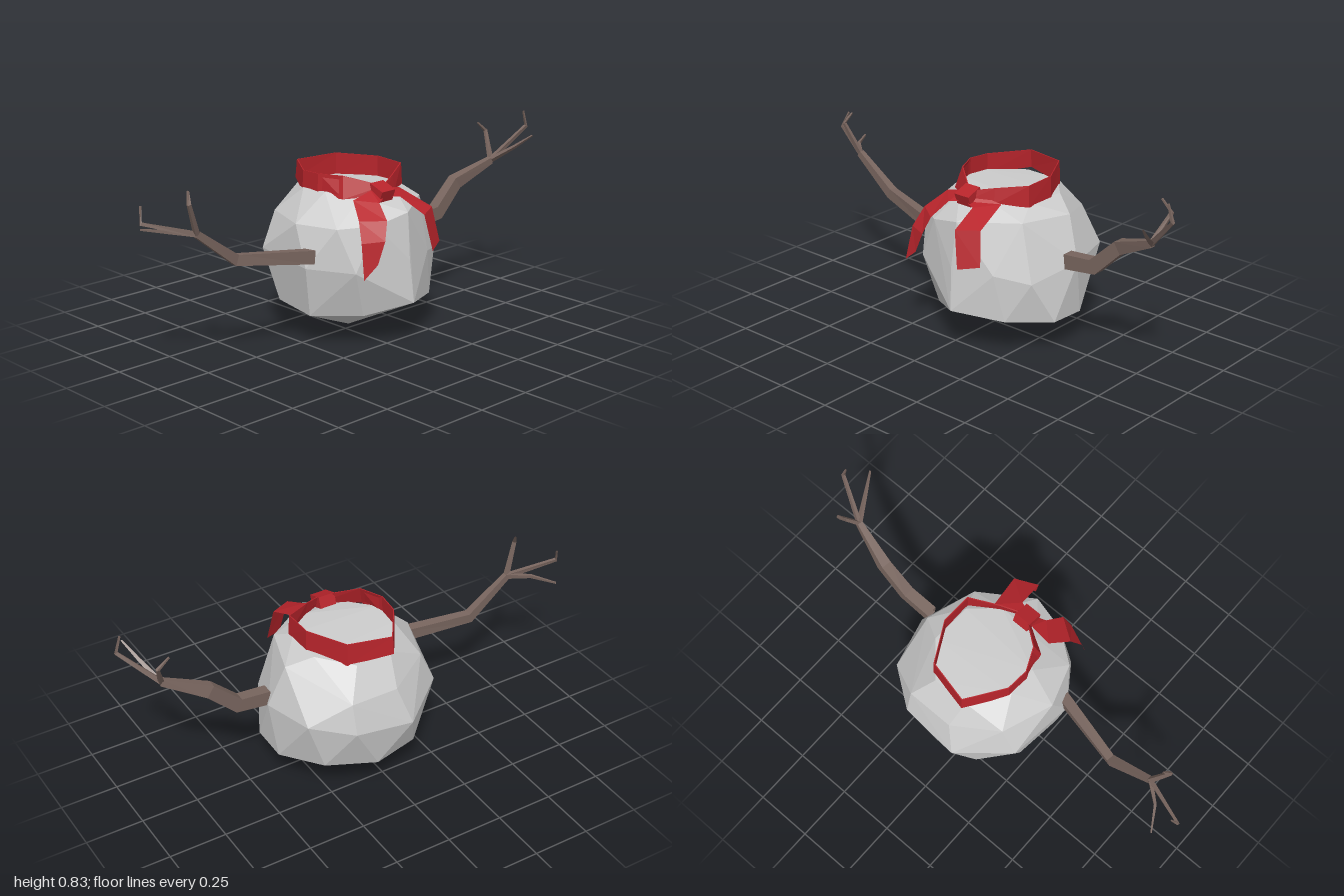
import * as THREE from 'three';
import { ConvexGeometry } from 'three/addons/geometries/ConvexGeometry.js';

const mat = (color) => new THREE.MeshStandardMaterial({ color, flatShading: true, side: THREE.DoubleSide });
const stone = mat(0xcccccc), bark = mat(0x78655e), red = mat(0xb8242b);

function add(parent, name, geometry, material) {
  const m = new THREE.Mesh(geometry, material);
  m.name = name;
  parent.add(m);
  return m;
}

// Joins a list of equal-length cross-sections (arrays of Vector3) into one surface
function loft(sections, closedSection, closedPath) {
  const n = sections[0].length, pos = [], idx = [];
  sections.forEach((s) => s.forEach((p) => pos.push(p.x, p.y, p.z)));
  const rows = closedPath ? sections.length : sections.length - 1;
  const cols = closedSection ? n : n - 1;
  for (let i = 0; i < rows; i++) {
    for (let j = 0; j < cols; j++) {
      const i2 = (i + 1) % sections.length, j2 = (j + 1) % n;
      const a = i * n + j, b = i * n + j2, c = i2 * n + j2, d = i2 * n + j;
      idx.push(a, b, c, a, c, d);
    }
  }
  const g = new THREE.BufferGeometry();
  g.setAttribute('position', new THREE.Float32BufferAttribute(pos, 3));
  g.setIndex(idx);
  g.computeVertexNormals();
  return g;
}

// Tapered four-sided twig along points [x, y, z, radius], narrower front to back
function twig(points) {
  const p = points.map((q) => new THREE.Vector3(q[0], q[1], q[2]));
  const sections = p.map((c, i) => {
    const t = p[Math.min(i + 1, p.length - 1)].clone().sub(p[Math.max(i - 1, 0)]).normalize();
    const u = new THREE.Vector3(0, 0, 1).cross(t).normalize();
    const v = t.clone().cross(u);
    return Array.from({ length: 4 }, (_, k) => {
      const a = ((k + 0.5) / 4) * Math.PI * 2, r = points[i][3];
      return c.clone().addScaledVector(u, Math.cos(a) * r).addScaledVector(v, Math.sin(a) * r * 0.8);
    });
  });
  return loft(sections, true, false);
}

function makeArm(name, branch, fingers) {
  const arm = new THREE.Group();
  arm.name = name;
  add(arm, 'branch', twig(branch), bark);
  const [x, y, z] = branch[branch.length - 1];
  fingers.forEach(([knuckle, tip]) =>
    add(arm, 'twigFinger', twig([[x, y, z, 0.015], [...knuckle, 0.01], [...tip, 0.005]]), bark));
  return arm;
}

// Flat strip from pairs of edge points
const strip = (pairs) => loft(pairs.map((pr) => pr.map((q) => new THREE.Vector3(...q))), false, false);

export function createModel() {
  const model = new THREE.Group();
  model.name = 'twigArmedBoulder';

  // Faceted body: irregular rings from the bottom point up to the crown
  const rings = [
    [[0.05, 0, -0.035]],
    [[0.06, 0.187, 0.345], [0.26, 0.16, 0.24], [0.4, 0.15, 0.09], [0.4, 0.143, -0.075], [0.29, 0.17, -0.265],
      [0.08, 0.15, -0.34], [-0.12, 0.16, -0.3], [-0.24, 0.15, -0.15], [-0.26, 0.135, 0.06], [-0.115, 0.14, 0.225]],
    [[0.05, 0.37, 0.328], [0.22, 0.36, 0.265], [0.35, 0.33, 0.18], [0.418, 0.38, -0.03], [0.36, 0.385, -0.255],
      [0.2, 0.36, -0.37], [-0.06, 0.33, -0.383], [-0.27, 0.37, -0.22], [-0.3, 0.35, 0.08], [-0.18, 0.34, 0.25]],
    [[0.06, 0.565, 0.305], [0.28, 0.57, 0.155], [0.35, 0.565, -0.06], [0.2, 0.49, -0.335], [-0.01, 0.49, -0.335],
      [-0.2, 0.52, -0.22], [-0.28, 0.52, 0], [-0.22, 0.52, 0.18], [-0.09, 0.53, 0.275]],
    [[0.13, 0.62, 0.16], [0.24, 0.62, 0.06], [0.25, 0.615, -0.12], [0.13, 0.61, -0.255], [-0.03, 0.615, -0.25],
      [-0.145, 0.63, -0.1], [-0.145, 0.635, 0.03], [-0.06, 0.62, 0.15]],
  ];
  add(model, 'body', new ConvexGeometry(rings.flat().map((p) => new THREE.Vector3(...p))), stone);

  // Arms
  model.add(makeArm('leftArm',
    [[0.4, 0.4, 0.01, 0.045], [0.54, 0.415, 0.01, 0.044], [0.66, 0.53, 0.01, 0.04], [0.84, 0.608, 0.06, 0.021]],
    [
      [[0.985, 0.755, 0.137], [0.963, 0.825, 0.138]],
      [[0.88, 0.725, -0.01], [0.83, 0.768, -0.013]],
      [[0.885, 0.675, 0.155], [0.92, 0.735, 0.23]],
    ]));
  model.add(makeArm('rightArm',
    [[-0.27, 0.4, 0.09, 0.04], [-0.6, 0.437, 0, 0.032], [-0.79, 0.58, 0, 0.02]],
    [
      [[-0.85, 0.715, 0.035], [-0.83, 0.76, 0.005]],
      [[-0.99, 0.643, -0.085], [-0.97, 0.705, -0.11]],
      [[-0.87, 0.59, -0.07], [-0.93, 0.59, -0.17]],
    ]));

  // Ribbon band: [x, z, bottom y, top y, inward lean of the top edge] around the crown
  const ribbon = new THREE.Group();
  ribbon.name = 'ribbon';
  model.add(ribbon);
  const band = [
    [0.03, 0.2, 0.62, 0.66, 0.95], [0.13, 0.155, 0.615, 0.68, 0.94], [0.25, 0.08, 0.61, 0.7, 0.97],
    [0.25, -0.06, 0.6, 0.705, 0.98], [0.16, -0.23, 0.605, 0.705, 0.97], [-0.03, -0.275, 0.62, 0.7, 0.96],
    [-0.14, -0.11, 0.61, 0.7, 0.97], [-0.148, -0.01, 0.61, 0.705, 0.97], [-0.12, 0.11, 0.615, 0.705, 0.86],
  ];
  const bandSections = band.map(([x, z, lo, hi, lean]) => {
    const at = (s, y) => new THREE.Vector3(0.05 + (x - 0.05) * s, y, -0.05 + (z + 0.05) * s);
    return [at(1.01, lo), at(lean + 0.02, hi), at(lean, hi), at(0.99, lo)];
  });
  add(ribbon, 'band', loft(bandSections, true, true), red);

  // Knot
  const knot = add(ribbon, 'knot', new THREE.BoxGeometry(0.075, 0.05, 0.075), red);
  knot.position.set(0.022, 0.637, 0.188);
  knot.rotation.x = 0.35;

  // Hanging tails
  add(ribbon, 'leftTail', strip([
    [[0.03, 0.62, 0.215], [0.06, 0.645, 0.17]],
    [[0.085, 0.612, 0.235], [0.165, 0.622, 0.15]],
    [[0.1, 0.557, 0.358], [0.195, 0.565, 0.31]],
    [[0.13, 0.402, 0.38], [0.215, 0.42, 0.337]],
  ]), red);
  add(ribbon, 'rightTail', strip([
    [[-0.02, 0.645, 0.17], [0.015, 0.62, 0.215]],
    [[-0.115, 0.62, 0.165], [-0.04, 0.61, 0.24]],
    [[-0.165, 0.56, 0.25], [-0.07, 0.555, 0.315]],
    [[-0.193, 0.48, 0.295], [-0.1, 0.48, 0.335]],
    [[-0.207, 0.337, 0.325], [-0.14, 0.39, 0.335]],
  ]), red);

  return model;
}
